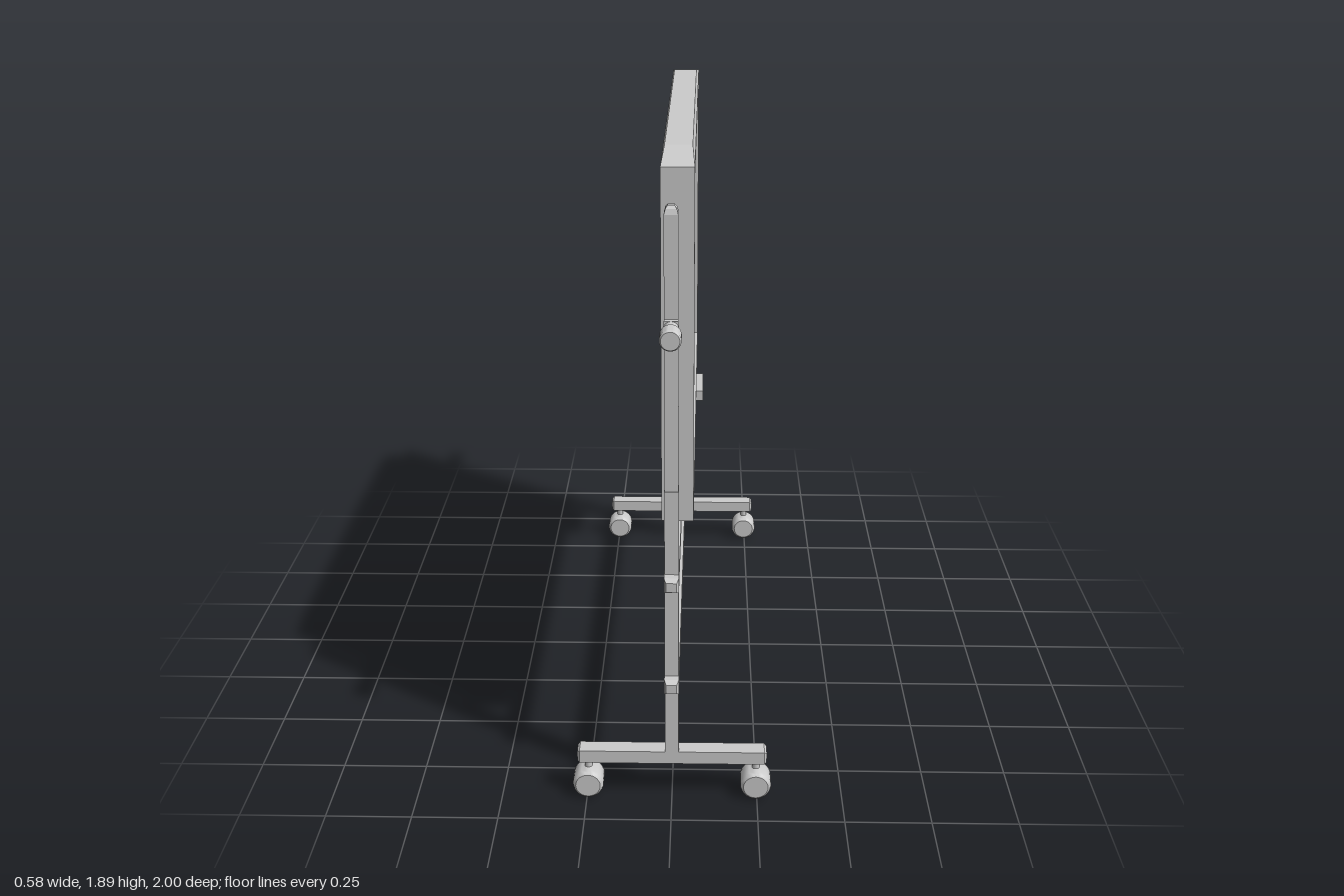
import * as THREE from 'three';
import { toCreasedNormals } from 'three/addons/utils/BufferGeometryUtils.js';
import { ConvexGeometry } from 'three/addons/geometries/ConvexGeometry.js';

const grey = new THREE.MeshStandardMaterial({ color: 0xcccccc });

function add(parent, name, geometry, x = 0, y = 0, z = 0) {
  const mesh = new THREE.Mesh(geometry, grey);
  mesh.name = name;
  mesh.position.set(x, y, z);
  parent.add(mesh);
  return mesh;
}

// Convex bar through rectangular sections [y, half x, half z]
function bar(sections) {
  const points = [];
  for (const [y, a, b] of sections)
    for (const sx of [-1, 1])
      for (const sz of [-1, 1]) points.push(new THREE.Vector3(sx * a, y, sz * b));
  return new ConvexGeometry(points);
}

// Turned part from [radius, z] pairs, its axis along z
function turned(profile, segments = 28) {
  const points = profile.map(([r, z]) => new THREE.Vector2(r, z));
  return toCreasedNormals(new THREE.LatheGeometry(points, segments).rotateX(Math.PI / 2), 0.6);
}

function createBoard() {
  const board = new THREE.Group();
  board.name = 'board';
  const x0 = -0.03, x1 = 0.06, panelX = 0.005;
  const y0 = 0.858, y1 = 1.863, halfZ = 0.8;

  // Panel flush with the rear face
  add(board, 'panel', new THREE.BoxGeometry(panelX - x0, y1 - y0, 2 * halfZ),
    (x0 + panelX) / 2, (y0 + y1) / 2, 0);

  // Raised rim around the writing surface
  const rim = new THREE.Shape([
    new THREE.Vector2(-halfZ, y0), new THREE.Vector2(halfZ, y0),
    new THREE.Vector2(halfZ, y1), new THREE.Vector2(-halfZ, y1)]);
  rim.holes.push(new THREE.Path([
    new THREE.Vector2(-0.768, 0.889), new THREE.Vector2(-0.768, 1.83),
    new THREE.Vector2(0.768, 1.83), new THREE.Vector2(0.768, 0.889)]));
  const rimGeometry = new THREE.ExtrudeGeometry(rim, { depth: x1 - panelX, bevelEnabled: false });
  add(board, 'rim', rimGeometry.rotateY(Math.PI / 2), panelX, 0, 0);

  // Sloping caps on the top and bottom edges
  const mid = (x0 + x1) / 2;
  add(board, 'topCap', bar([[0, 0.045, halfZ], [0.025, 0.038, 0.64]]), mid, y1, 0);
  add(board, 'bottomCap', bar([[0, 0.045, halfZ], [-0.025, 0.038, 0.64]]), mid, y0, 0);
  return board;
}

function createCaster(x) {
  const caster = new THREE.Group();
  caster.name = 'caster';
  add(caster, 'wheel', turned([
    [0, -0.04], [0.036, -0.04], [0.042, -0.035], [0.045, -0.026],
    [0.045, 0.026], [0.042, 0.035], [0.036, 0.04], [0, 0.04]]), 0, 0.046, 0);
  add(caster, 'stem', new THREE.CylinderGeometry(0.011, 0.011, 0.05, 16), 0, 0.1, 0);
  caster.position.x = x;
  return caster;
}

// One end of the stand, built for +z
function createSide(name) {
  const side = new THREE.Group();
  side.name = name;
  const z = 0.862;

  add(side, 'lowerPost', new THREE.BoxGeometry(0.04, 0.85, 0.05), 0, 0.56, z);
  add(side, 'upperPost', bar([
    [0.98, 0.019, 0.022], [1.757, 0.019, 0.022], [1.772, 0.015, 0.017], [1.78, 0.009, 0.01]]), 0, 0, z);

  // Foot with bevelled ends
  add(side, 'foot', bar([
    [-0.277, 0.014, 0.02], [-0.27, 0.02, 0.025],
    [0.27, 0.02, 0.025], [0.277, 0.014, 0.02]]).rotateZ(Math.PI / 2), 0, 0.135, z);
  for (const s of [-1, 1]) {
    const caster = createCaster(s * 0.246);
    caster.position.z = z;
    side.add(caster);
  }

  // Pivot and tightening knob
  add(side, 'pivotBlock', new THREE.BoxGeometry(0.038, 0.042, 0.106), 0, 1.457, 0.848);
  add(side, 'pivotShaft', turned([
    [0, 0.89], [0.021, 0.89], [0.021, 0.902], [0.011, 0.928], [0.011, 0.95], [0, 0.95]]), 0, 1.457, 0);
  add(side, 'knob', turned([
    [0, 0.943], [0.025, 0.943], [0.029, 0.948], [0.029, 0.994],
    [0.025, 1], [0, 1]]), 0, 1.457, 0);
  return side;
}

export function createModel() {
  const model = new THREE.Group();
  model.name = 'mobileBoard';
  model.add(createBoard());

  const left = createSide('frontSide');
  const right = createSide('backSide');
  right.rotation.y = Math.PI;
  model.add(left, right);

  // Crossbars with tapered ends
  for (const [name, y] of [['upperCrossbar', 0.711], ['lowerCrossbar', 0.387]]) {
    add(model, name, bar([
      [-0.923, 0.015, 0.014], [-0.908, 0.021, 0.023],
      [0.908, 0.021, 0.023], [0.923, 0.015, 0.014]])
      .rotateY(Math.PI / 2).rotateX(Math.PI / 2).rotateZ(Math.PI / 2), 0, y, 0);
  }

  // Small tray on the upper crossbar
  add(model, 'tray', new THREE.BoxGeometry(0.066, 0.038, 0.186), 0.049, 0.711, -0.66);
  return model;
}
